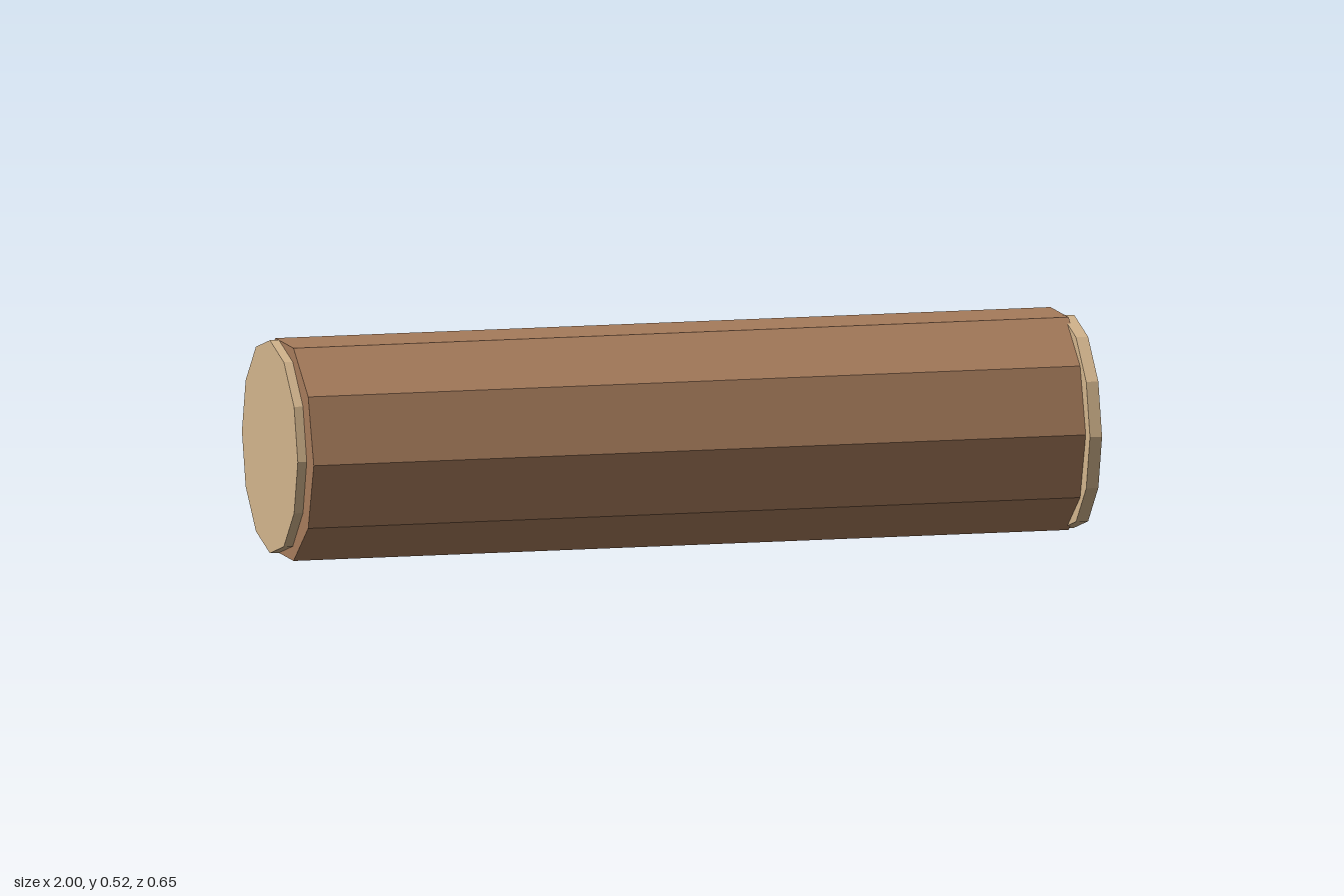
import * as THREE from 'three';

const YAW = 0.054;      // the log lies slightly askew
const CENTRE_Y = 0.258;

const flat = (color) => new THREE.MeshStandardMaterial({ color, flatShading: true });

// Faceted cylinder lying along x, turned by the log's yaw
function lyingCylinder(name, radius, length, sides, material) {
  const geometry = new THREE.CylinderGeometry(radius, radius, length, sides);
  geometry.rotateZ(Math.PI / 2);
  const mesh = new THREE.Mesh(geometry, material);
  mesh.name = name;
  mesh.rotation.y = YAW;
  mesh.position.y = CENTRE_Y;
  return mesh;
}

export function createModel() {
  const model = new THREE.Group();
  model.name = 'log';

  const bark = flat(0xa67b5b);
  const cutWood = flat(0xd2b48c);

  // Ten-sided trunk, flat side down
  model.add(lyingCylinder('trunk', 0.271, 1.923, 10, bark));

  // Twelve-sided cut ends, centred on z = 0
  for (const side of [-1, 1]) {
    const name = side > 0 ? 'leftCutEnd' : 'rightCutEnd';
    const cap = lyingCylinder(name, 0.258, 0.03, 12, cutWood);
    cap.position.x = side * 0.97;
    model.add(cap);
  }

  // Short broken branch leaning along the upper back of the trunk
  const tip = new THREE.Vector3(0.405, 0.457, -0.214);
  const direction = new THREE.Vector3(0.85, 0.3, -0.42).normalize();
  const length = 0.12;
  const branch = new THREE.Mesh(new THREE.CylinderGeometry(0.035, 0.04, length, 5), flat(0x8f6b52));
  branch.name = 'branchStub';
  branch.quaternion.setFromUnitVectors(new THREE.Vector3(0, 1, 0), direction);
  branch.position.copy(tip).addScaledVector(direction, -length / 2);
  model.add(branch);

  return model;
}
